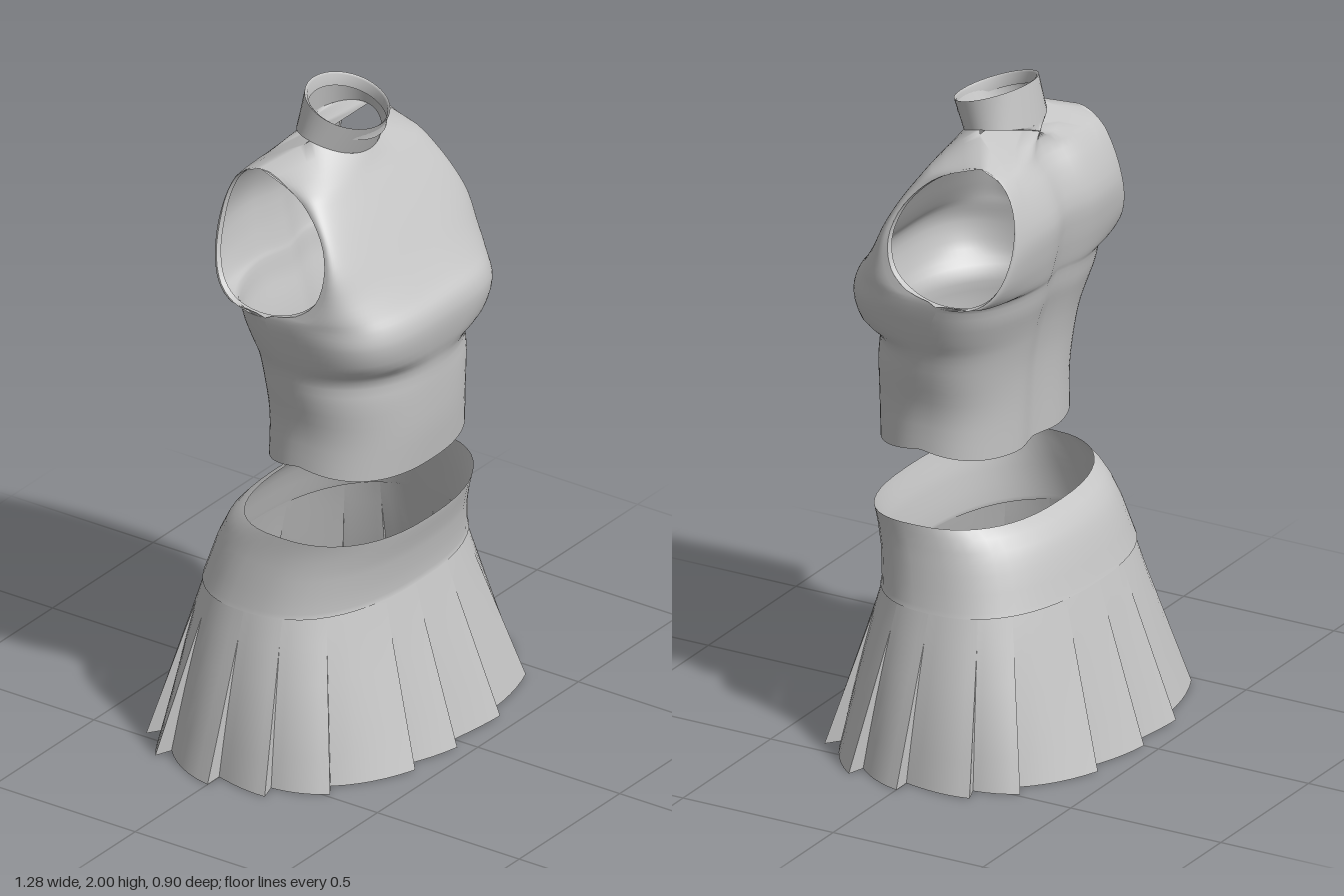
import * as THREE from 'three';
import { mergeGeometries, mergeVertices } from 'three/addons/utils/BufferGeometryUtils.js';

const V = (x, y, z) => new THREE.Vector3(x, y, z);
const lerp = THREE.MathUtils.lerp;
const pow = (v, p) => Math.sign(v) * Math.abs(v) ** p;

// Surface through rows of points (each row runs left to right, rows run upward)
function skin(rows, steps = 1) {
  const cols = rows[0].length, pos = [], index = [];
  let grid = rows;
  if (steps > 1) {
    const total = (rows.length - 1) * steps;
    grid = Array.from({ length: total + 1 }, () => []);
    for (let j = 0; j < cols; j++) {
      const curve = new THREE.CatmullRomCurve3(rows.map(r => r[j]));
      for (let i = 0; i <= total; i++) grid[i].push(curve.getPoint(i / total));
    }
  }
  grid.forEach(r => r.forEach(p => pos.push(p.x, p.y, p.z)));
  for (let i = 0; i < grid.length - 1; i++) for (let j = 0; j < cols - 1; j++) {
    const a = i * cols + j, b = a + cols;
    index.push(a, a + 1, b + 1, a, b + 1, b);
  }
  const g = new THREE.BufferGeometry();
  g.setAttribute('position', new THREE.Float32BufferAttribute(pos, 3));
  g.setIndex(index);
  return g;
}
function smooth(parts) {
  const g = mergeVertices(mergeGeometries(parts), 1e-4);
  g.computeVertexNormals();
  return g;
}

// Torso rows shared by both halves: [side x, side y, side z, front y, front z, front boxiness, back y, back z]
const LOWER = [
  [.33, .93, .10, .89, .34, 2.4, .89, -.11],
  [.32, 1.04, .10, 1.02, .355, 2.3, 1.03, -.115],
  [.335, 1.15, .09, 1.14, .36, 2.2, 1.15, -.125],
  [.345, 1.23, .08, 1.22, .362, 2.1, 1.24, -.142],
  [.36, 1.28, .06, 1.28, .38, 3.2, 1.3, -.158],
  [.375, 1.35, .04, 1.36, .393, 3.6, 1.36, -.177],
  [.382, 1.41, .02, 1.41, .383, 3.4, 1.42, -.19],
];
// Armhole edges above the underarm: [edge x, y, z, centre y, centre z, boxiness]
const FRONT = [
  [.375, 1.44, .12, 1.45, .352, 3.2], [.362, 1.49, .18, 1.51, .312, 3],
  [.345, 1.57, .20, 1.59, .264, 3], [.32, 1.65, .18, 1.67, .216, 2.8],
  [.30, 1.72, .13, 1.74, .172, 2.6], [.285, 1.775, .06, 1.79, .14, 2.6],
];
const BACK = [
  [.375, 1.42, -.09, 1.44, -.197, 2.4], [.36, 1.46, -.15, 1.48, -.207, 2.4],
  [.335, 1.53, -.185, 1.54, -.219, 2.4], [.305, 1.62, -.195, 1.63, -.226, 2.4],
  [.285, 1.72, -.18, 1.73, -.19, 2.4], [.28, 1.79, -.14, 1.80, -.14, 2.4],
];
const TIP = V(.28, 1.825, -.07);

const neckBase = t => V(.145 * Math.sin(t), 1.85 - .022 * Math.cos(t) + .03 * Math.sin(t) ** 2, .01 + .11 * Math.cos(t));
const neckTop = (t, k = 1, drop = 0) => V(.13 * k * Math.sin(t), 1.96 - .04 * Math.cos(t) - drop, .04 + .12 * k * Math.cos(t));

function torsoHalf(front) {
  const N = 40, dir = front ? 1 : -1;
  const keys = LOWER.map(r => front ? r.slice(0, 6) : [r[0], r[1], r[2], r[6], r[7], 2.5]).concat(front ? FRONT : BACK);
  const angles = Array.from({ length: N + 1 }, (_, j) => (j / N - .5) * Math.PI);
  const rows = keys.map(([ex, ey, ez, cy, cz, n]) => angles.map(a => {
    const c = Math.max(0, Math.cos(a)) ** (2 / n), x = ex * pow(Math.sin(a), 2 / n);
    // shallow groove along the spine
    const groove = front ? 0 : .028 * Math.exp(-((x / .07) ** 2));
    return V(dir * x, lerp(ey, cy, c), lerp(ez, cz, c) + groove);
  }));
  // last row: shoulder seam, half of the neckline, other shoulder seam
  rows.push(angles.map(a => {
    const q = Math.PI / 4, k = (Math.abs(a) - q) / q;
    const p = k > 0 ? neckBase(Math.PI / 2).lerp(TIP, k) : neckBase(front ? 2 * a : Math.PI - 2 * a);
    if (k > 0) p.x *= dir * Math.sign(a);
    return p;
  }));
  return skin(rows, 3);
}

// Skirt outline at any height: [y, half width, front z, back z]
const SKIRT = [
  [0, .64, .452, -.452], [.47, .46, .30, -.305], [.5, .455, .297, -.298],
  [.6, .428, .31, -.268], [.66, .412, .325, -.24], [.69, .405, .333, -.212], [.712, .40, .337, -.175],
];
function skirtPoint(t, y, inset = 0, n = 2.3) {
  let i = 0;
  while (i < SKIRT.length - 2 && y > SKIRT[i + 1][0]) i++;
  const A = SKIRT[i], B = SKIRT[i + 1], k = (y - A[0]) / (B[0] - A[0]);
  const [a, f, b] = [1, 2, 3].map(m => lerp(A[m], B[m], k));
  const s = 1 - inset, mid = (f + b) / 2, half = (f - b) / 2;
  return V(a * s * pow(Math.sin(t), 2 / n), y, mid + half * s * pow(Math.cos(t), 2 / n));
}

export function createModel() {
  const model = new THREE.Group();
  const cloth = new THREE.MeshStandardMaterial({ color: 0xc4c4c4, side: THREE.DoubleSide });
  cloth.name = 'light grey cloth';
  const add = (name, geometry, parent) => {
    const m = new THREE.Mesh(geometry, cloth);
    m.name = name;
    parent.add(m);
  };
  const top = new THREE.Group(), skirt = new THREE.Group();
  top.name = 'croppedTop';
  skirt.name = 'pleatedSkirt';
  model.add(top, skirt);

  add('bodice', smooth([torsoHalf(true), torsoHalf(false)]), top);

  // Collar with a folded-in rim
  const turn = Array.from({ length: 49 }, (_, i) => i / 48 * Math.PI * 2);
  add('collar', smooth([skin([turn.map(neckBase), turn.map(t => neckBase(t).lerp(neckTop(t), .5)), turn.map(t => neckTop(t))])]), top);
  add('collarRim', smooth([skin([turn.map(t => neckTop(t)), turn.map(t => neckTop(t, .94, .005)), turn.map(t => neckTop(t, .92, .04))])]), top);

  // Narrow facing turned inward around each armhole
  const U = LOWER[LOWER.length - 1];
  const edge = [U, ...FRONT].map(r => V(r[0], r[1], r[2])).concat([TIP.clone()], BACK.slice().reverse().map(r => V(r[0], r[1], r[2])));
  const loop = new THREE.CatmullRomCurve3(edge, true).getPoints(56);
  for (const s of [1, -1]) {
    const outer = loop.map(p => V(s * p.x, p.y, p.z));
    const inner = loop.map(p => V(s * (p.x - .018), lerp(p.y, 1.61, .02), lerp(p.z, 0, .02)));
    add(s > 0 ? 'leftArmholeFacing' : 'rightArmholeFacing', smooth([skin([outer, inner])]), top);
  }

  // Waist yoke, its upper edge raised at the sides
  const yokeRows = [.485, .5, .55, .6, .63, .66, .69, .712].map(y => turn.map(t => {
    const p = skirtPoint(t, y, y < .49 ? -.006 : 0, 2.4);
    if (y > .65) p.y += (y - .65) / .062 * (.013 * Math.sin(t) ** 2 - .008 * Math.max(0, Math.cos(t)));
    return p;
  }));
  add('waistYoke', smooth([skin(yokeRows)]), skirt);

  // Knife pleats: each starts proud, slopes inward, then steps out to the next
  const folds = [-164, -134, -117, -90, -70, -47, -17, -2, 15, 42, 70, 90, 115, 133, 162, 180];
  const levels = [0, .1, .2, .3, .41, .49];
  const depth = y => .09 * Math.max(0, 1 - y / .41);
  folds.forEach((deg, i) => {
    const end = deg * Math.PI / 180;
    const start = (i ? folds[i - 1] : -180) * Math.PI / 180;
    const steps = 6;
    const face = levels.map(y => Array.from({ length: steps + 1 }, (_, j) =>
      skirtPoint(lerp(start, end, j / steps), y, depth(y) * (1 - j / steps))));
    const step = levels.slice(0, 5).map(y => [skirtPoint(end, y), skirtPoint(end, y, depth(y))]);
    add('pleat' + (i + 1), smooth([skin(face)]), skirt);
    add('pleatFold' + (i + 1), smooth([skin(step)]), skirt);
  });
  return model;
}
